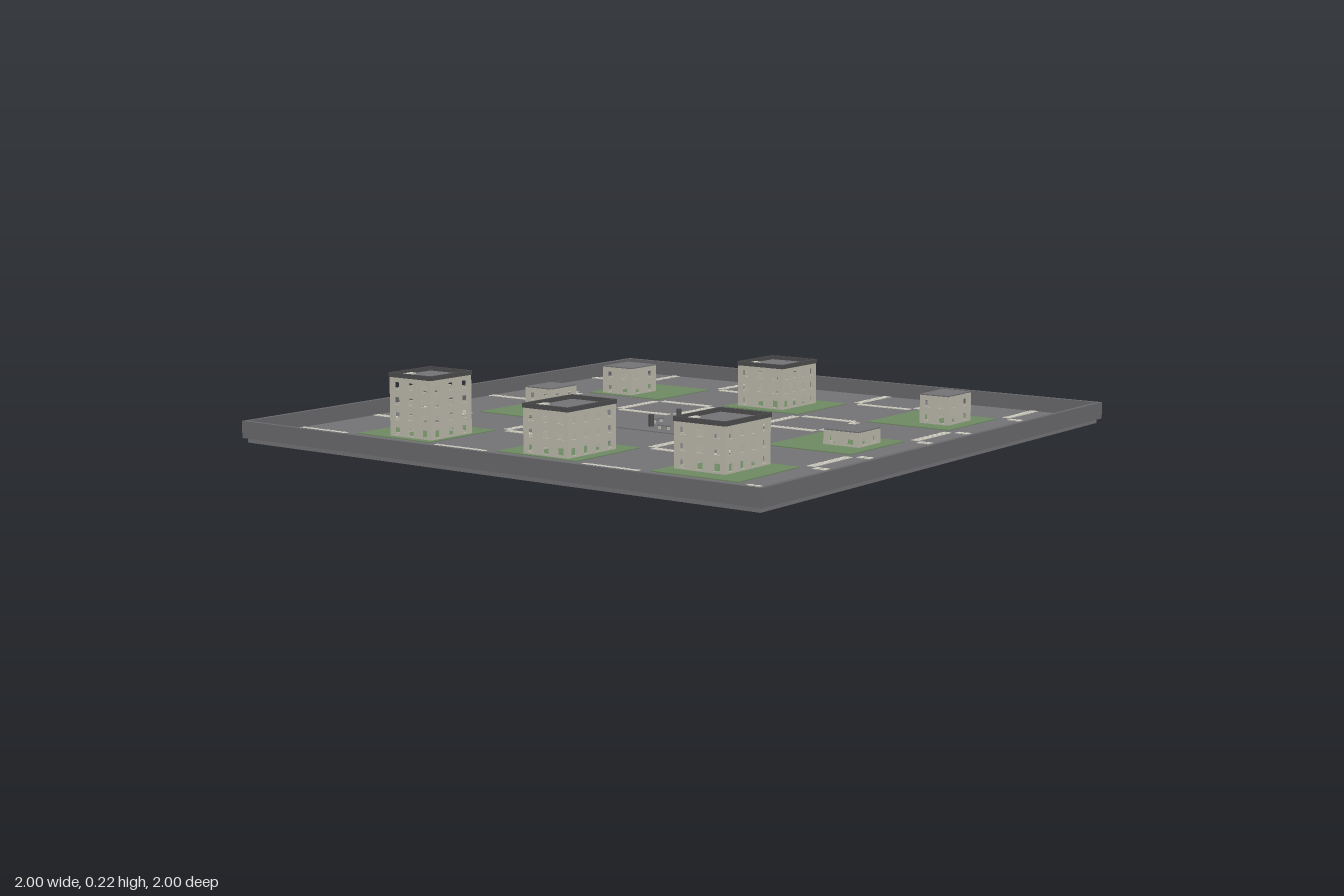
import * as THREE from 'three';

const mat = (name, color) => Object.assign(new THREE.MeshStandardMaterial({ color }), { name });

export function createModel() {
  const asphalt = mat('asphalt', 0x737376);
  const concrete = mat('rim concrete', 0x69696c);
  const grass = mat('grass', 0x6e8a62);
  const paint = mat('road paint', 0xcfccc0);
  const wall = mat('building wall', 0xbcb8ac);
  const trim = mat('dark trim', 0x4c4c4e);

  const city = new THREE.Group();
  city.name = 'cityBoard';
  const GROUND = 0.02, STOREY = 0.048, T = 0.006;

  // Box placed by its centre in x and z and by its underside in y
  function box(parent, name, material, w, h, d, x, y, z) {
    const m = new THREE.Mesh(new THREE.BoxGeometry(w, h, d), material);
    m.name = name;
    m.position.set(x, y + h / 2, z);
    parent.add(m);
    return m;
  }

  // Four boxes framing a rectangle
  function frame(parent, name, material, w, d, t, h, x, y, z) {
    for (const s of [-1, 1]) {
      box(parent, name, material, w, h, t, x, y, z + s * (d - t) / 2);
      box(parent, name, material, t, h, d - 2 * t, x + s * (w - t) / 2, y, z);
    }
  }

  // Base board and raised rim
  box(city, 'base', asphalt, 1.975, GROUND, 1.975, 0, 0, 0);
  frame(city, 'rim', concrete, 2, 2, 0.015, 0.055, 0, 0.015, 0);

  // Nine blocks: lawns around a paved centre
  for (const x of [-0.588, 0, 0.588]) {
    for (const z of [-0.588, 0, 0.588]) {
      const plaza = x === 0 && z === 0;
      box(city, plaza ? 'plaza' : 'lawn', plaza ? asphalt : grass, 0.31, 0.003, 0.31, x, GROUND, z);
    }
  }

  // Crosswalks: a row of stripes across each road, along x and along z
  const roads = [[-0.985, -0.78, 8], [-0.4, -0.19, 12], [0.19, 0.4, 12], [0.78, 0.985, 8]];
  for (const at of [-0.76, -0.415, -0.173, 0.173, 0.412, 0.758]) {
    for (const [from, to, count] of roads) {
      const step = (to - from) / count;
      for (let i = 0; i < count; i++) {
        const p = from + (i + 0.5) * step;
        box(city, 'crosswalkStripe', paint, step * 0.72, 0.002, 0.028, p, GROUND, at);
        box(city, 'crosswalkStripe', paint, 0.028, 0.002, step * 0.72, at, GROUND, p);
      }
    }
  }

  // Wall panel with a grid of window openings; span sets the column spacing
  function wallPanel(width, span, storeys) {
    const s = new THREE.Shape();
    const w = width / 2, h = storeys * STOREY;
    s.moveTo(-w, 0).lineTo(w, 0).lineTo(w, h).lineTo(-w, h).closePath();
    const columns = Math.floor(span / 0.052);
    for (let c = 0; c < columns; c++) {
      for (let r = 0; r < storeys; r++) {
        const x = -span / 2 + (c + 0.5) * span / columns;
        const y = STOREY * (r + 0.43), k = 0.0115;
        const hole = new THREE.Path();
        hole.moveTo(x - k, y - k).lineTo(x - k, y + k).lineTo(x + k, y + k).lineTo(x + k, y - k).closePath();
        s.holes.push(hole);
      }
    }
    return new THREE.ExtrudeGeometry(s, { depth: T, bevelEnabled: false });
  }

  function building(name, x0, x1, z0, z1, storeys) {
    const g = new THREE.Group();
    g.name = name;
    g.position.set((x0 + x1) / 2, GROUND, (z0 + z1) / 2);
    const w = x1 - x0, d = z1 - z0, h = storeys * STOREY;
    const front = wallPanel(w, w, storeys), side = wallPanel(d - 2 * T, d, storeys);
    for (let i = 0; i < 4; i++) {
      const m = new THREE.Mesh(i % 2 ? side : front, wall);
      m.name = 'wall';
      m.rotation.y = i * Math.PI / 2;
      const out = (i % 2 ? w : d) / 2 - T;
      m.position.set(Math.sin(m.rotation.y) * out, 0, Math.cos(m.rotation.y) * out);
      g.add(m);
    }
    if (storeys > 2) {
      // Recessed roof, dark parapet and a low roof hatch
      box(g, 'roof', asphalt, w - 2 * T, 0.004, d - 2 * T, 0, h - 0.004, 0);
      frame(g, 'parapet', trim, w + 0.004, d + 0.004, 0.008, 0.014, 0, h - 0.001, 0);
      box(g, 'roofHatch', paint, 0.068, 0.005, 0.02, -w / 2 + 0.056, h, -d / 2 + 0.02);
    } else {
      box(g, 'roof', asphalt, w - 0.004, 0.004, d - 0.004, 0, h, 0);
    }
    city.add(g);
  }

  building('towerBlock', -0.72, -0.53, -0.623, -0.448, 4);
  building('apartmentBlock', -0.73, -0.498, -0.062, 0.112, 3);
  building('apartmentBlock', -0.674, -0.445, 0.465, 0.648, 3);
  building('apartmentBlock', 0.477, 0.685, -0.12, 0.064, 3);
  building('house', -0.123, 0.01, -0.57, -0.458, 2);
  building('house', 0.455, 0.598, -0.697, -0.568, 2);
  building('house', 0.508, 0.655, 0.587, 0.695, 2);
  building('lowHouse', -0.043, 0.083, 0.57, 0.7, 1);

  // Plaza posts at the corners, benches between them
  for (const x of [-0.075, 0.075]) {
    for (const z of [-0.075, 0.075]) {
      const post = new THREE.Mesh(new THREE.CylinderGeometry(0.009, 0.009, 0.042, 8), trim);
      post.name = 'post';
      post.position.set(x, GROUND + 0.021, z);
      city.add(post);
    }
  }
  for (let i = 0; i < 4; i++) {
    const bench = new THREE.Group();
    bench.name = 'bench';
    bench.rotation.y = i * Math.PI / 2;
    box(bench, 'seat', asphalt, 0.045, 0.004, 0.012, 0, 0.034, 0.106);
    for (const s of [-1, 1]) box(bench, 'benchLeg', wall, 0.005, 0.014, 0.01, s * 0.018, GROUND, 0.106);
    city.add(bench);
  }
  return city;
}
